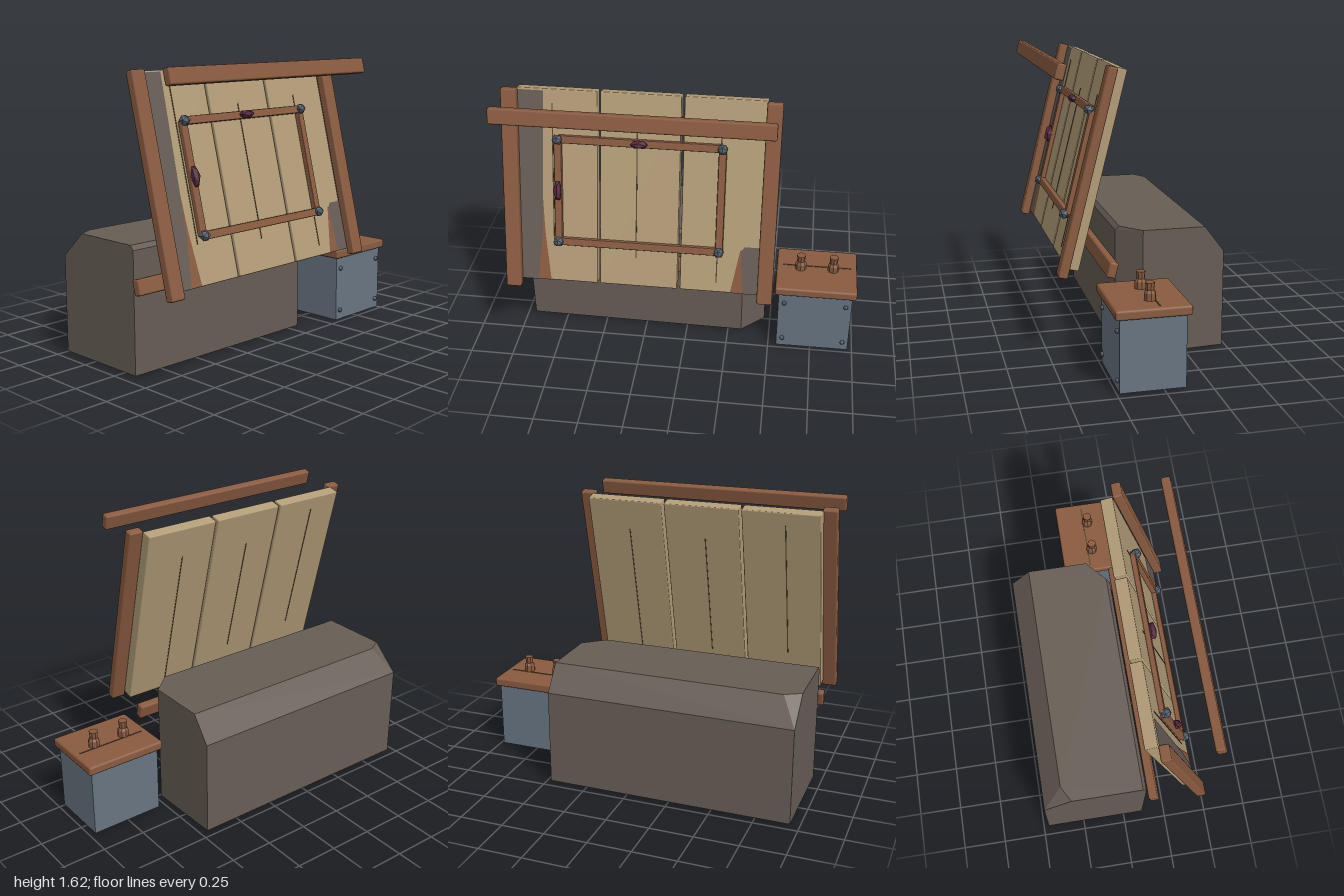
import * as THREE from 'three';
import { RoundedBoxGeometry } from 'three/addons/geometries/RoundedBoxGeometry.js';
import { ConvexGeometry } from 'three/addons/geometries/ConvexGeometry.js';

const mat = (name, color, extra = {}) => new THREE.MeshStandardMaterial({ name, color, ...extra });

export function createModel() {
  const model = new THREE.Group();
  model.name = 'boardBlockAndBox';

  const stone = mat('stone', 0x675d55, { side: THREE.DoubleSide });
  const wood = mat('wood', 0x8a5b40);
  const plank = mat('plank', 0xb39d78);
  const steel = mat('steel', 0x687582, { side: THREE.DoubleSide });
  const rivet = mat('rivet', 0x525f6b, { flatShading: true });
  const gem = mat('gem', 0x55283f, { flatShading: true });
  const groove = mat('groove', 0x55452f);

  const add = (parent, name, geo, material, x = 0, y = 0, z = 0) => {
    const m = new THREE.Mesh(geo, material);
    m.name = name;
    m.position.set(x, y, z);
    parent.add(m);
    return m;
  };
  const bar = (w, h, d, r = 0.01) => new RoundedBoxGeometry(w, h, d, 1, r);

  // Convex shell with its underside left open
  const openHull = (points) => {
    const hull = new ConvexGeometry(points.map((p) => new THREE.Vector3(...p)));
    const pos = hull.attributes.position, nor = hull.attributes.normal;
    const kept = [];
    for (let i = 0; i < pos.count; i += 3) {
      if (nor.getY(i) < -0.9) continue;
      for (let k = i; k < i + 3; k++) kept.push(pos.getX(k), pos.getY(k), pos.getZ(k));
    }
    const geo = new THREE.BufferGeometry();
    geo.setAttribute('position', new THREE.Float32BufferAttribute(kept, 3));
    geo.computeVertexNormals();
    return geo;
  };

  // Large stone block: sloped back edge, one clipped corner, one cut front corner
  add(model, 'stoneBlock', openHull([
    [-0.95, 0.015, -0.47], [0.465, 0.015, -0.47], [0.465, 0, -0.01],
    [0.33, 0, 0.115], [-0.95, 0.015, 0.115],
    [-0.95, 0.565, -0.47], [0.465, 0.565, -0.47],
    [-0.86, 0.71, -0.36], [0.465, 0.71, -0.36], [-0.95, 0.71, -0.31],
    [0.465, 0.71, -0.01], [0.345, 0.71, 0.095], [-0.95, 0.71, 0.095],
    [0.33, 0.685, 0.115], [-0.95, 0.685, 0.115],
  ]), stone);

  // Metal box with a wooden lid
  const box = new THREE.Group();
  box.name = 'metalBox';
  box.position.set(0.76, 0, 0.065);
  model.add(box);
  const corners = [];
  for (const x of [-0.212, 0.212])
    for (const y of [0.012, 0.41])
      for (const z of [-0.175, 0.175]) corners.push([x, y, z]);
  add(box, 'boxBody', openHull(corners), steel);
  add(box, 'boxLid', bar(0.47, 0.052, 0.4, 0.012), wood, 0, 0.43, 0);
  add(box, 'lidGroove', new THREE.BoxGeometry(0.4, 0.006, 0.007), groove, 0, 0.456, -0.035);
  for (const x of [-0.178, 0.178])
    for (const y of [0.07, 0.335])
      add(box, 'boxRivet', new THREE.IcosahedronGeometry(0.014, 1), rivet, x, y, 0.179);

  // Stepped pegs on the lid
  const pegProfile = [[0.032, 0.45], [0.032, 0.495], [0.022, 0.51], [0.026, 0.55], [0, 0.55]]
    .map((p) => new THREE.Vector2(...p));
  for (const x of [-0.095, 0.095]) {
    const peg = new THREE.LatheGeometry(pegProfile, 8).toNonIndexed();
    peg.computeVertexNormals();
    add(box, 'lidPeg', peg, wood, x, 0, -0.01);
  }

  // Leaning board
  const tilt = 0.245;
  const board = new THREE.Group();
  board.name = 'leaningBoard';
  board.position.set(0, 0.484, 0.44);
  board.rotation.x = -tilt;
  model.add(board);
  const up = (y) => (y - 0.48) / Math.cos(tilt); // height above ground to height along the board
  const face = -0.026;

  for (const x of [-0.953, 0.47])
    add(board, 'sidePost', bar(0.086, 1.15, 0.053), wood, x, 0.575, 0);

  // Planks, each with a long crack on both faces
  const planks = [
    [-0.92, -0.478, -0.725, 0.72, 1.52],
    [-0.463, -0.025, -0.26, 0.68, 1.4],
    [-0.009, 0.435, 0.195, 0.57, 1.42],
  ];
  for (const [x0, x1, crackX, y0, y1] of planks) {
    add(board, 'plank', bar(x1 - x0, 1.115, 0.068, 0.006), plank, (x0 + x1) / 2, 0.592, face - 0.034);
    add(board, 'plankCrack', new THREE.BoxGeometry(0.006, up(y1) - up(y0), 0.073), groove,
      crackX, (up(y0) + up(y1)) / 2, face - 0.034);
  }

  // Painted patches along the edges of the planks
  const patch = (name, material, lift, pts) => {
    const shape = new THREE.Shape(pts.map(([x, y]) => new THREE.Vector2(x, up(y))));
    add(board, name, new THREE.ShapeGeometry(shape), material, 0, 0, face + lift);
  };
  patch('greyPatchTall', stone, 0.004,
    [[-0.915, 0.515], [-0.82, 0.515], [-0.79, 0.78], [-0.772, 1.585], [-0.915, 1.585]]);
  patch('brownPatchTall', wood, 0.002,
    [[-0.84, 0.515], [-0.745, 0.515], [-0.775, 0.8], [-0.785, 1.0], [-0.8, 0.8]]);
  patch('greyPatchSmall', stone, 0.004,
    [[0.345, 0.515], [0.43, 0.515], [0.43, 0.79], [0.345, 0.79], [0.325, 0.76]]);
  patch('brownPatchSmall', wood, 0.002,
    [[0.275, 0.515], [0.36, 0.515], [0.34, 0.77], [0.323, 0.77]]);

  // Inner frame of thin strips with rivets at its corners
  const left = -0.693, right = 0.205, low = up(0.757), high = up(1.333);
  const midX = (left + right) / 2, midY = (low + high) / 2;
  for (const y of [low, high])
    add(board, 'frameStrip', bar(right - left, 0.043, 0.03, 0.005), wood, midX, y, -0.012);
  for (const x of [left, right]) {
    add(board, 'frameStrip', bar(0.042, high - low, 0.03, 0.005), wood, x, midY, -0.012);
    for (const y of [low, high])
      add(board, 'frameRivet', new THREE.IcosahedronGeometry(0.031, 0), rivet, x, y, 0.005);
  }

  // Gems on the inner frame
  const gems = [[-0.245, high, 0.054, 0.024], [left, up(1.052), 0.025, 0.062]];
  for (const [x, y, sx, sy] of gems)
    add(board, 'frameGem', new THREE.IcosahedronGeometry(1, 0), gem, x, y, 0.012).scale.set(sx, sy, 0.028);

  // Loose cross beams, before the top and behind the foot of the board
  const beams = [['topBeam', 1.485, -0.248, 1.579, 0.434], ['bottomBeam', 1.465, -0.243, 0.502, 0.163]];
  for (const [name, length, x, y, z] of beams)
    add(model, name, bar(length, 0.086, 0.05), wood, x, y, z).rotation.x = -tilt;

  return model;
}
